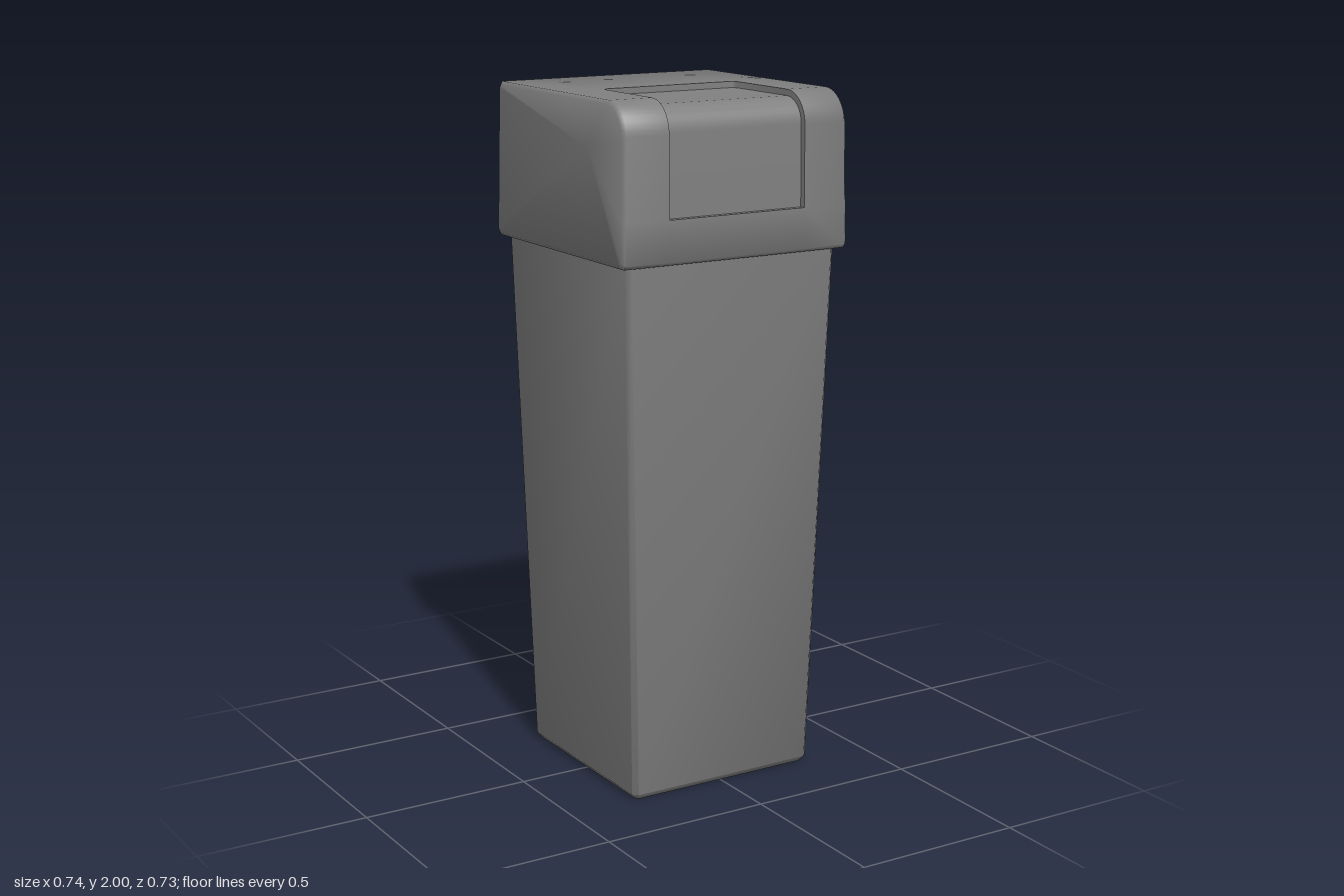
import * as THREE from 'three';
import { toCreasedNormals } from 'three/addons/utils/BufferGeometryUtils.js';

const V = (x, y, z) => new THREE.Vector3(x, y, z);

// Skin a list of equal-length closed rings, closing both ends with a fan if capped
function loft(rings, capped = true) {
  const pos = [];
  const tri = (a, b, c) => {
    const n = b.clone().sub(a).cross(c.clone().sub(a));
    if (n.lengthSq() > 1e-16) for (const p of [a, b, c]) pos.push(p.x, p.y, p.z);
  };
  const n = rings[0].length;
  for (let i = 0; i < rings.length - 1; i++) {
    for (let j = 0; j < n; j++) {
      const k = (j + 1) % n;
      const a = rings[i][j], b = rings[i][k], c = rings[i + 1][k], d = rings[i + 1][j];
      tri(a, d, b);
      tri(b, d, c);
    }
  }
  const cap = (ring, flip) => {
    const mid = ring.reduce((s, p) => s.add(p), V(0, 0, 0)).divideScalar(n);
    ring.forEach((a, j) => {
      const b = ring[(j + 1) % n];
      flip ? tri(mid, b, a) : tri(mid, a, b);
    });
  };
  if (capped) {
    cap(rings[0], false);
    cap(rings[rings.length - 1], true);
  }
  const g = new THREE.BufferGeometry();
  g.setAttribute('position', new THREE.Float32BufferAttribute(pos, 3));
  return toCreasedNormals(g, 0.95);
}

// Square ring at height y with corners cut by c
function squareRing(half, c, y) {
  const m = half - c;
  return [
    [half, -m], [half, m], [m, half], [-m, half],
    [-half, m], [-half, -m], [-m, -half], [m, -half],
  ].map(([x, z]) => V(x, y, z));
}

// Curve up the front and over the top of the lid as [z, y], sunk by depth d, ending at z0
function frontCurve(d, z0) {
  const pts = [[0.361 - d, 1.68]];
  for (let i = 0; i <= 10; i++) {
    const a = (i / 10) * Math.PI / 2;
    pts.push([0.268 + (0.09 - d) * Math.cos(a), 1.91 + (0.09 - d) * Math.sin(a)]);
  }
  pts.push([z0, 2 - d]);
  return pts;
}

// Whole side profile of the lid, with the flap recess sunk by d
const lidProfile = (d, z0) => [
  [0.352, 1.555], [0.362, 1.565], [0.361, 1.68],
  ...frontCurve(d, z0),
  [z0, 2], [-0.349, 2], [-0.356, 1.992], [-0.363, 1.565], [-0.353, 1.555],
];

const FLAP = 0.219, FLAP_DEPTH = 0.018, RECESS = 0.03;
// [distance from the flap side, rear edge z]: rounds the rear corners of the flap
const rearCorner = [[0, 0.02], [0.002, 0.012], [0.006, 0.006], [0.012, 0.002], [0.02, 0]];
const flapStations = [
  ...rearCorner.map(([dx, z]) => [-FLAP + dx, z]),
  ...rearCorner.map(([dx, z]) => [FLAP - dx, z]).reverse(),
];

function lidGeometry() {
  const ring = (x, d, z0) => lidProfile(d, z0).map(([z, y]) => V(x, y, z));
  // Outer ring: inset for the chamfered edge, leaning inwards towards the top
  const outer = (side, x, inset) => lidProfile(0, 0.02).map(([z, y]) => V(
    side * (x - 0.008 * (y - 1.56) / 0.44),
    1.78 + (y - 1.78) * (1 - inset / 0.22),
    z * (1 - inset / 0.362),
  ));
  return loft([
    outer(-1, 0.368, 0.01),
    outer(-1, 0.358, 0),
    ring(-FLAP, 0, 0.02),
    ...flapStations.map(([x, z0]) => ring(x, RECESS, z0)),
    ring(FLAP, 0, 0.02),
    outer(1, 0.358, 0),
    outer(1, 0.368, 0.01),
  ]);
}

// Curved panel lying in the recess
function flapGeometry() {
  return loft(flapStations.map(([x, z0]) => [
    ...frontCurve(FLAP_DEPTH, z0),
    ...frontCurve(RECESS, z0).reverse(),
  ].map(([z, y]) => V(x, y, z))), false);
}

export function createModel() {
  const group = new THREE.Group();
  const material = new THREE.MeshStandardMaterial({ color: 0x808080 });
  const add = (name, geometry) => {
    const mesh = new THREE.Mesh(geometry, material);
    mesh.name = name;
    group.add(mesh);
  };

  // Tapered bin with a chamfered foot
  add('binBody', loft([
    squareRing(0.285, 0.01, 0),
    squareRing(0.3, 0.014, 0.018),
    squareRing(0.341, 0.014, 1.57),
  ]));
  add('lid', lidGeometry());
  add('lidFlap', flapGeometry());
  return group;
}
